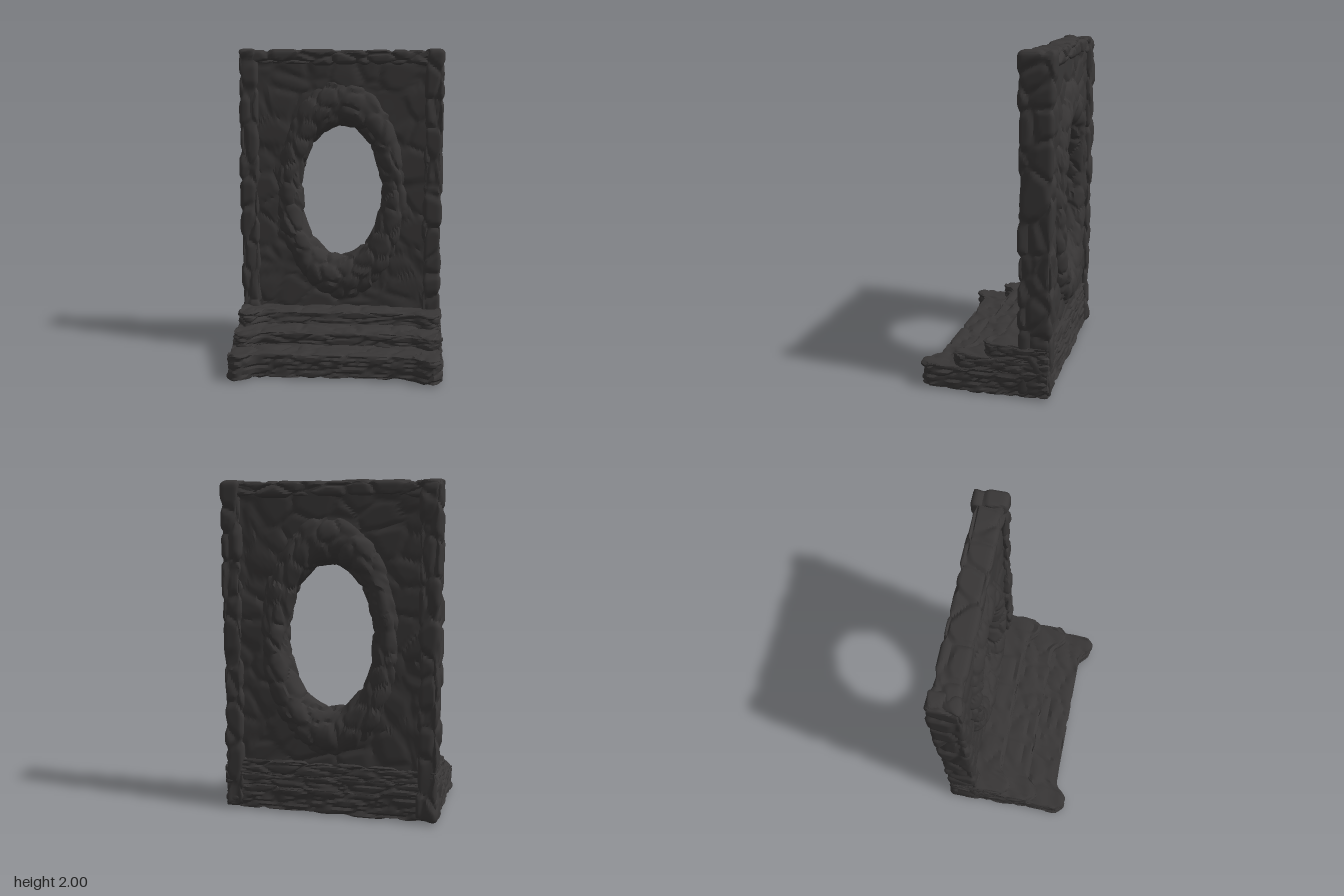
import * as THREE from 'three';
import { mergeVertices, toCreasedNormals } from 'three/addons/utils/BufferGeometryUtils.js';

const material = new THREE.MeshStandardMaterial({ color: 0x383636 });

// Repeatable hash of a lattice cell, 0..1
function hash(x, y, z, k) {
  let h = Math.imul(x, 374761393) ^ Math.imul(y, 668265263) ^ Math.imul(z, 1440662683) ^ Math.imul(k, 974634777);
  h = Math.imul(h ^ (h >>> 13), 1274126177);
  h = Math.imul(h ^ (h >>> 15), 2246822519);
  return ((h ^ (h >>> 16)) >>> 0) / 4294967296;
}

// Cellular stone pattern: 0 on a raised stone, down to -1 in the joints
function stonePattern(x, y, z) {
  const ix = Math.floor(x), iy = Math.floor(y), iz = Math.floor(z);
  let f1 = 9, f2 = 9, id = 0;
  for (let i = ix - 1; i <= ix + 1; i++)
    for (let j = iy - 1; j <= iy + 1; j++)
      for (let k = iz - 1; k <= iz + 1; k++) {
        const d = Math.hypot(i + hash(i, j, k, 1) - x, j + hash(i, j, k, 2) - y, k + hash(i, j, k, 3) - z);
        if (d < f1) { f2 = f1; f1 = d; id = hash(i, j, k, 4); }
        else if (d < f2) f2 = d;
      }
  const joint = 1 - THREE.MathUtils.smoothstep(f2 - f1, 0, 0.28);
  return -0.55 * joint - 0.45 * id;
}

// Weld the surface, push it in along its normals by the pattern, and crease it
function carve(geometry, cell, depth) {
  geometry.deleteAttribute('uv');
  geometry.deleteAttribute('normal');
  const geo = mergeVertices(geometry, 1e-4);
  geo.computeVertexNormals();
  const p = geo.attributes.position, n = geo.attributes.normal;
  for (let i = 0; i < p.count; i++) {
    const x = p.getX(i), y = p.getY(i), z = p.getZ(i);
    const d = depth * stonePattern(x / cell[0] + 7.3, y / cell[1] + 3.1, z / cell[2] + 5.7);
    p.setXYZ(i, x + n.getX(i) * d, y + n.getY(i) * d, z + n.getZ(i) * d);
  }
  geo.deleteAttribute('normal');
  return toCreasedNormals(geo, 0.6);
}

function reshape(geometry, rule) {
  const p = geometry.attributes.position, v = new THREE.Vector3();
  for (let i = 0; i < p.count; i++) {
    rule(v.fromBufferAttribute(p, i));
    p.setXYZ(i, v.x, v.y, v.z);
  }
  return geometry;
}

// Finely divided box between two corners with rounded edges
function softBox(min, max, segments, radius) {
  const lo = new THREE.Vector3(...min), hi = new THREE.Vector3(...max);
  const size = hi.clone().sub(lo), mid = hi.clone().add(lo).multiplyScalar(0.5);
  const innerLo = lo.clone().addScalar(radius), innerHi = hi.clone().subScalar(radius);
  const core = new THREE.Vector3();
  const geo = new THREE.BoxGeometry(size.x, size.y, size.z, ...segments).translate(mid.x, mid.y, mid.z);
  return reshape(geo, (v) => {
    core.copy(v).clamp(innerLo, innerHi);
    v.sub(core).setLength(radius).add(core);
  });
}

// How far a step's front edge swells forward near its ends
function flare(x) {
  const a = Math.abs(x), s = THREE.MathUtils.smoothstep;
  return 0.08 * s(a, 0.46, 0.58) - 0.045 * s(a, 0.6, 0.66);
}

export function createModel() {
  const model = new THREE.Group();
  const add = (name, geometry) => {
    const mesh = new THREE.Mesh(geometry, material);
    mesh.name = name;
    model.add(mesh);
  };
  const wallZ = -0.29, holeY = 1.08;

  // Three layered steps with swollen front corners
  [
    ['lowerStep', 0, 0.168, 0.335],
    ['middleStep', 0.135, 0.248, 0.14],
    ['upperStep', 0.215, 0.33, -0.05],
  ].forEach(([name, bottom, top, front]) => {
    const depthSegments = Math.round((front + 0.38) * 40);
    const geo = softBox([-0.662, bottom, -0.38], [0.662, top, front], [90, 12, depthSegments], 0.022);
    reshape(geo, (v) => {
      v.z += flare(v.x) * THREE.MathUtils.smoothstep(v.z, front - 0.2, front - 0.02);
    });
    add(name, carve(geo, [0.2, 0.04, 0.12], 0.022));
  });

  // Wall faces, spread from the oval opening out to the rectangular edge
  for (const [name, turn] of [['frontWallFace', 0], ['backWallFace', Math.PI]]) {
    const geo = reshape(new THREE.PlaneGeometry(1, 1, 200, 28), (v) => {
      const angle = -v.x * Math.PI * 2, t = v.y + 0.5;
      const c = Math.cos(angle), s = Math.sin(angle), k = 1 / Math.max(Math.abs(c), Math.abs(s));
      v.set(
        THREE.MathUtils.lerp(0.33 * c, 0.63 * c * k, t),
        THREE.MathUtils.lerp(0.56 * s, 0.88 * s * k, t),
        0.073
      );
    });
    geo.rotateY(turn).translate(0, holeY, wallZ);
    add(name, carve(geo, [0.19, 0.17, 0.3], 0.018));
  }

  // Edge posts
  for (const [name, side] of [['leftPost', 1], ['rightPost', -1]]) {
    const x = side * 0.595;
    const geo = softBox([x - 0.068, 0.005, -0.398], [x + 0.068, 2, -0.182], [12, 120, 16], 0.035);
    add(name, carve(geo, [0.14, 0.19, 0.16], 0.028));
  }

  // Top beam
  add('topBeam', carve(
    softBox([-0.62, 1.89, -0.38], [0.62, 2, -0.195], [90, 9, 14], 0.035),
    [0.17, 0.12, 0.14], 0.028
  ));

  // Thick oval ring of stones around the opening
  const ring = new THREE.TorusGeometry(1, 0.28, 44, 170);
  ring.scale(0.345, 0.58, 0.122 / 0.28).translate(0, holeY, wallZ);
  add('ovalRing', carve(ring, [0.13, 0.14, 0.13], 0.024));

  return model;
}
